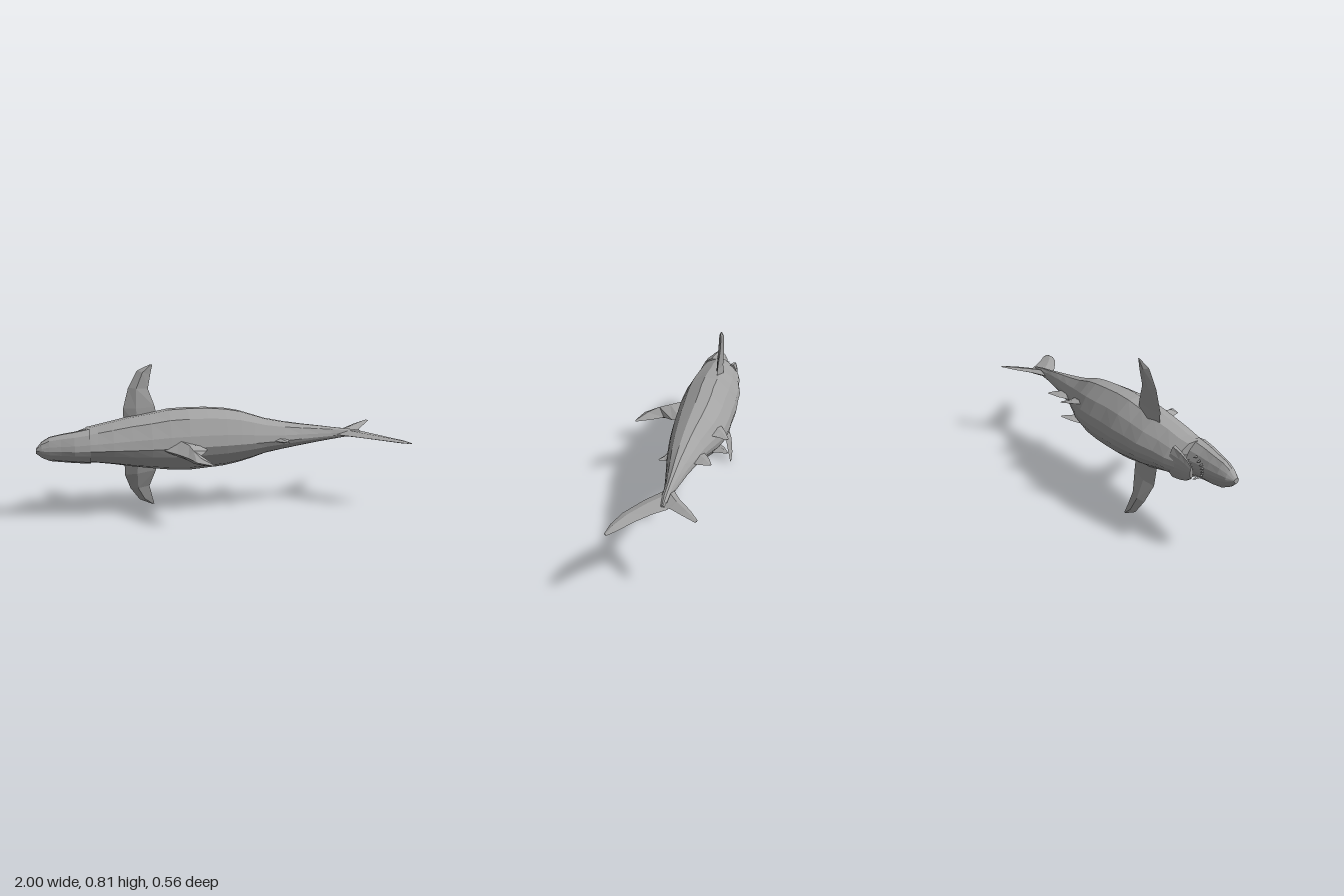
import * as THREE from 'three';

const skin = new THREE.MeshStandardMaterial({ color: 0xa3a3a3 });
skin.name = 'grey skin';
skin.flatShading = true;
skin.side = THREE.DoubleSide;

// Skin a list of closed rings (arrays of [x, y, z]) and cap both ends
function loft(rings) {
  const n = rings[0].length, pos = rings.flat(2), idx = [];
  for (let r = 0; r < rings.length - 1; r++) {
    for (let i = 0; i < n; i++) {
      const a = r * n + i, b = r * n + (i + 1) % n;
      idx.push(a, b, a + n, b, b + n, a + n);
    }
  }
  [0, rings.length - 1].forEach((r, end) => {
    for (let i = 1; i < n - 1; i++) {
      const f = [r * n, r * n + i, r * n + i + 1];
      idx.push(...(end ? f : f.reverse()));
    }
  });
  // Turn every face outwards if the signed volume is negative
  const v = i => new THREE.Vector3(pos[3 * i], pos[3 * i + 1] - 0.4, pos[3 * i + 2]);
  let volume = 0;
  for (let i = 0; i < idx.length; i += 3) volume += v(idx[i]).dot(v(idx[i + 1]).cross(v(idx[i + 2])));
  if (volume < 0) idx.reverse();
  const g = new THREE.BufferGeometry();
  g.setAttribute('position', new THREE.Float32BufferAttribute(pos, 3));
  g.setIndex(idx);
  const flat = g.toNonIndexed();
  flat.computeVertexNormals();
  return flat;
}

// Half section from back ridge to belly: [along z, along y]
const half = [[1, 0], [0.9, 0.32], [0.62, 0.78], [0.15, 1], [-0.28, 0.96], [-0.7, 0.62], [-0.95, 0.25]];
const section = [...half, [-1, 0], ...half.slice(1).reverse().map(([u, w]) => [u, -w])];

// Stations: [x, belly z, back z, low y, high y]; the ridge stays on its own line
function trunk(stations) {
  return loft(stations.map(([x, z0, z1, y0, y1]) => {
    const mid = Math.min(0.395, y1), zc = (z0 + z1) / 2, h = (z1 - z0) / 2;
    return section.map(([u, w]) => [x, mid + w * (w > 0 ? y1 - mid : mid - y0), zc + u * h]);
  }));
}

// Stations: [lead x, y, z, trail x, y, z, half thickness]; axis 1 = y, 2 = z
function fin(stations, axis) {
  return loft(stations.map(([ax, ay, az, bx, by, bz, t]) => {
    const lead = [ax, ay, az], trail = [bx, by, bz];
    const side = s => lead.map((c, k) => c + (trail[k] - c) * 0.4 + (k === axis ? s * t : 0));
    return [lead, side(1), trail, side(-1)];
  }));
}

export function createModel() {
  const model = new THREE.Group();
  model.name = 'shark';
  const add = (name, geometry) => {
    const m = new THREE.Mesh(geometry, skin);
    m.name = name;
    model.add(m);
    return m;
  };

  // Body, from behind the mouth to the tail root
  add('body', trunk([
    [-0.74, -0.185, 0.042, 0.312, 0.495], [-0.68, -0.205, 0.048, 0.304, 0.505],
    [-0.6, -0.215, 0.055, 0.292, 0.522], [-0.5, -0.238, 0.06, 0.272, 0.542],
    [-0.4, -0.243, 0.065, 0.257, 0.557], [-0.3, -0.252, 0.064, 0.243, 0.574],
    [-0.2, -0.25, 0.06, 0.236, 0.577], [-0.1, -0.253, 0.052, 0.242, 0.574],
    [0, -0.247, 0.045, 0.25, 0.565], [0.08, -0.23, 0.036, 0.267, 0.55],
    [0.15, -0.205, 0.027, 0.288, 0.528], [0.22, -0.18, 0.016, 0.313, 0.505],
    [0.32, -0.158, 0, 0.332, 0.484], [0.42, -0.135, -0.022, 0.347, 0.467],
    [0.52, -0.12, -0.042, 0.361, 0.452], [0.6, -0.108, -0.056, 0.371, 0.439],
    [0.68, -0.105, -0.06, 0.381, 0.427], [0.76, -0.1, -0.075, 0.395, 0.414],
  ]));

  // Open mouth: blunt snout above and shorter jaw below
  add('snout', trunk([
    [-1, -0.045, -0.018, 0.378, 0.404], [-0.97, -0.072, -0.004, 0.352, 0.438],
    [-0.93, -0.088, 0.006, 0.333, 0.461], [-0.87, -0.101, 0.018, 0.325, 0.473],
    [-0.8, -0.11, 0.036, 0.318, 0.484], [-0.72, -0.125, 0.044, 0.31, 0.498],
  ]));
  add('lowerJaw', trunk([
    [-0.835, -0.165, -0.148, 0.367, 0.425], [-0.8, -0.172, -0.142, 0.343, 0.451],
    [-0.76, -0.18, -0.132, 0.33, 0.468], [-0.7, -0.19, -0.115, 0.32, 0.48],
  ]));
  // Two curved rows of teeth
  const tooth = new THREE.ConeGeometry(0.007, 0.022, 4);
  for (let i = -4; i <= 4; i++) {
    const a = i / 4, x = -0.81 + 0.05 * a * a, y = 0.395 + 0.055 * a;
    const upper = add('upperTooth', tooth);
    upper.position.set(x - 0.04, y, -0.108 - 0.005 * a * a);
    upper.rotation.x = -Math.PI / 2;
    const lower = add('lowerTooth', tooth);
    lower.position.set(x, y, -0.136);
    lower.rotation.x = Math.PI / 2;
  }

  // Fins
  add('dorsalFin', fin([
    [-0.37, 0.39, 0.03, -0.11, 0.39, 0.02, 0.045], [-0.28, 0.385, 0.13, -0.12, 0.38, 0.075, 0.042],
    [-0.23, 0.38, 0.19, -0.155, 0.372, 0.13, 0.034], [-0.195, 0.372, 0.25, -0.13, 0.365, 0.19, 0.018],
    [-0.11, 0.36, 0.282, -0.098, 0.358, 0.278, 0.002],
  ], 1));
  add('leftPectoralFin', fin([
    [-0.54, 0.49, -0.125, -0.36, 0.49, -0.125, 0.022], [-0.54, 0.58, -0.12, -0.37, 0.58, -0.125, 0.018],
    [-0.51, 0.69, -0.125, -0.405, 0.68, -0.132, 0.016], [-0.46, 0.78, -0.132, -0.39, 0.755, -0.138, 0.013],
    [-0.39, 0.81, -0.138, -0.378, 0.808, -0.138, 0.002],
  ], 2));
  add('rightPectoralFin', fin([
    [-0.54, 0.32, -0.13, -0.36, 0.32, -0.13, 0.022], [-0.54, 0.2, -0.15, -0.37, 0.22, -0.148, 0.018],
    [-0.51, 0.11, -0.185, -0.405, 0.12, -0.182, 0.018], [-0.46, 0.035, -0.205, -0.39, 0.05, -0.2, 0.012],
    [-0.39, 0, -0.215, -0.378, 0.002, -0.214, 0.002],
  ], 2));
  // Paired small fins under the belly
  for (const s of [-1, 1]) {
    add('pelvicFin', fin([
      [-0.01, 0.4 + s * 0.06, -0.2, 0.13, 0.4 + s * 0.05, -0.18, 0.012],
      [0.06, 0.4 + s * 0.05, -0.25, 0.13, 0.4 + s * 0.045, -0.225, 0.01],
      [0.13, 0.4 + s * 0.04, -0.283, 0.14, 0.4 + s * 0.04, -0.268, 0.002],
    ], 1));
  }
  add('analFin', fin([
    [0.21, 0.4, -0.165, 0.35, 0.405, -0.14, 0.014], [0.28, 0.405, -0.21, 0.36, 0.408, -0.175, 0.009],
    [0.35, 0.41, -0.237, 0.36, 0.41, -0.222, 0.002],
  ], 1));
  add('rearDorsalFin', fin([
    [0.23, 0.4, 0, 0.35, 0.4, -0.02, 0.013], [0.29, 0.395, 0.018, 0.335, 0.395, 0.005, 0.008],
    [0.33, 0.393, 0.04, 0.336, 0.393, 0.034, 0.002],
  ], 1));

  // Forked tail
  add('upperTailLobe', fin([
    [0.62, 0.4, -0.058, 0.77, 0.402, -0.115, 0.018], [0.71, 0.4, 0.008, 0.82, 0.4, -0.055, 0.014],
    [0.83, 0.396, 0.08, 0.89, 0.394, 0.012, 0.011], [0.92, 0.388, 0.113, 0.965, 0.386, 0.072, 0.008],
    [0.985, 0.38, 0.122, 0.997, 0.379, 0.108, 0.002],
  ], 1));
  add('lowerTailLobe', fin([
    [0.61, 0.405, -0.108, 0.76, 0.405, -0.1, 0.018], [0.69, 0.41, -0.155, 0.775, 0.41, -0.13, 0.012],
    [0.77, 0.415, -0.22, 0.82, 0.416, -0.19, 0.008], [0.85, 0.42, -0.272, 0.87, 0.42, -0.265, 0.002],
  ], 1));
  return model;
}
